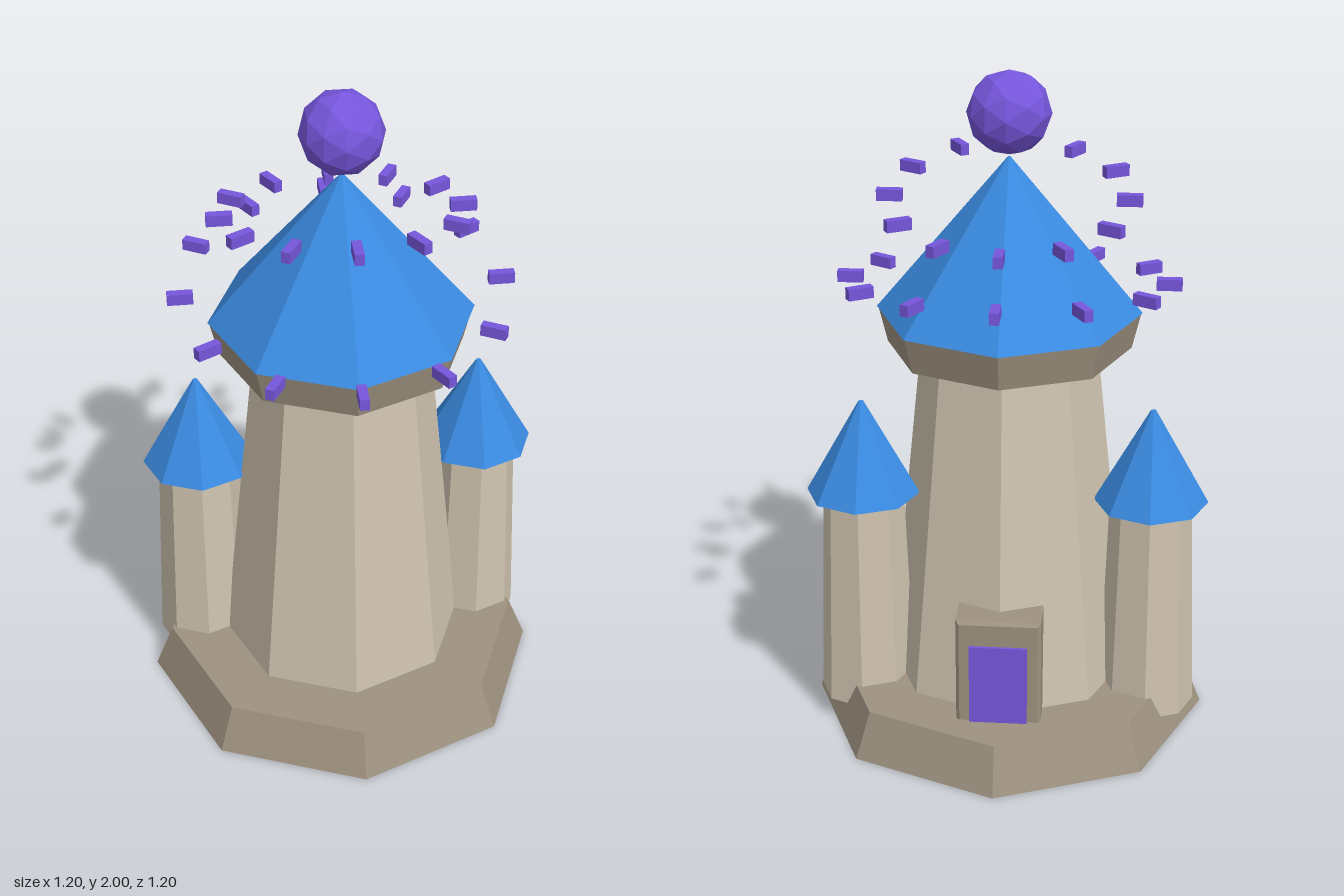
import * as THREE from 'three';

const material = (name, color) => {
  const m = new THREE.MeshStandardMaterial({ color, flatShading: true });
  m.name = name;
  return m;
};

export function createModel() {
  const model = new THREE.Group();
  model.name = 'wizardTower';

  const paleStone = material('pale stone', 0xd0c4b0);
  const darkStone = material('dark stone', 0x9e9280);
  const blueTile = material('blue roof', 0x3a8ae0);
  const purple = material('purple crystal', 0x7656dc);

  const add = (name, geometry, mat, parent, x = 0, y = 0, z = 0) => {
    const mesh = new THREE.Mesh(geometry, mat);
    mesh.name = name;
    mesh.position.set(x, y, z);
    parent.add(mesh);
    return mesh;
  };
  // Eight-sided tapered drum between two heights
  const drum = (name, mat, parent, rBottom, rTop, y0, y1) =>
    add(name, new THREE.CylinderGeometry(rTop, rBottom, y1 - y0, 8), mat, parent, 0, (y0 + y1) / 2, 0);

  // Main tower
  drum('base', darkStone, model, 0.6, 0.545, 0, 0.14);
  drum('towerShaft', paleStone, model, 0.37, 0.26, 0.13, 1.19);
  drum('collar', darkStone, model, 0.36, 0.386, 1.18, 1.288);
  drum('mainRoof', blueTile, model, 0.39, 0.004, 1.288, 1.75);
  add('orb', new THREE.IcosahedronGeometry(0.122, 1), purple, model, 0, 1.878, 0);

  // Side turrets
  for (const side of [-1, 1]) {
    const turret = new THREE.Group();
    turret.name = side > 0 ? 'leftTurret' : 'rightTurret';
    turret.position.set(side * 0.43, 0, -0.1);
    drum('turretShaft', paleStone, turret, 0.145, 0.122, 0.07, 0.735);
    drum('turretRoof', blueTile, turret, 0.17, 0.008, 0.735, 1.025);
    model.add(turret);
  }

  // Back doorway: bevelled stone block with a thin door panel
  const bevel = 0.01;
  const w = 0.125 - bevel;
  const outline = new THREE.Shape();
  outline.moveTo(-w, 0.11);
  outline.lineTo(w, 0.11);
  outline.lineTo(w, 0.468 - bevel);
  outline.lineTo(-w, 0.468 - bevel);
  outline.closePath();
  const frame = new THREE.ExtrudeGeometry(outline, {
    depth: 0.18, bevelEnabled: true, bevelThickness: bevel, bevelSize: bevel, bevelSegments: 1,
  });
  add('doorFrame', frame, darkStone, model, 0, 0, -0.395);
  add('doorPanel', new THREE.BoxGeometry(0.17, 0.27, 0.009), purple, model, 0, 0.255, -0.4095);

  // Two tilted rings of floating shards around the roof
  const shard = new THREE.BoxGeometry(0.027, 0.034, 0.075);
  const ring = (name, radius, y, rise) => {
    const group = new THREE.Group();
    group.name = name;
    for (let i = 0; i < 12; i++) {
      const a = (i * Math.PI) / 6;
      const mesh = add('shard', shard, purple, group,
        radius * Math.sin(a), y + rise * Math.cos(a), radius * Math.cos(a));
      mesh.rotation.y = a;
    }
    model.add(group);
  };
  ring('upperShardRing', 0.345, 1.63, 0.07);
  ring('lowerShardRing', 0.465, 1.38, -0.063);

  return model;
}
